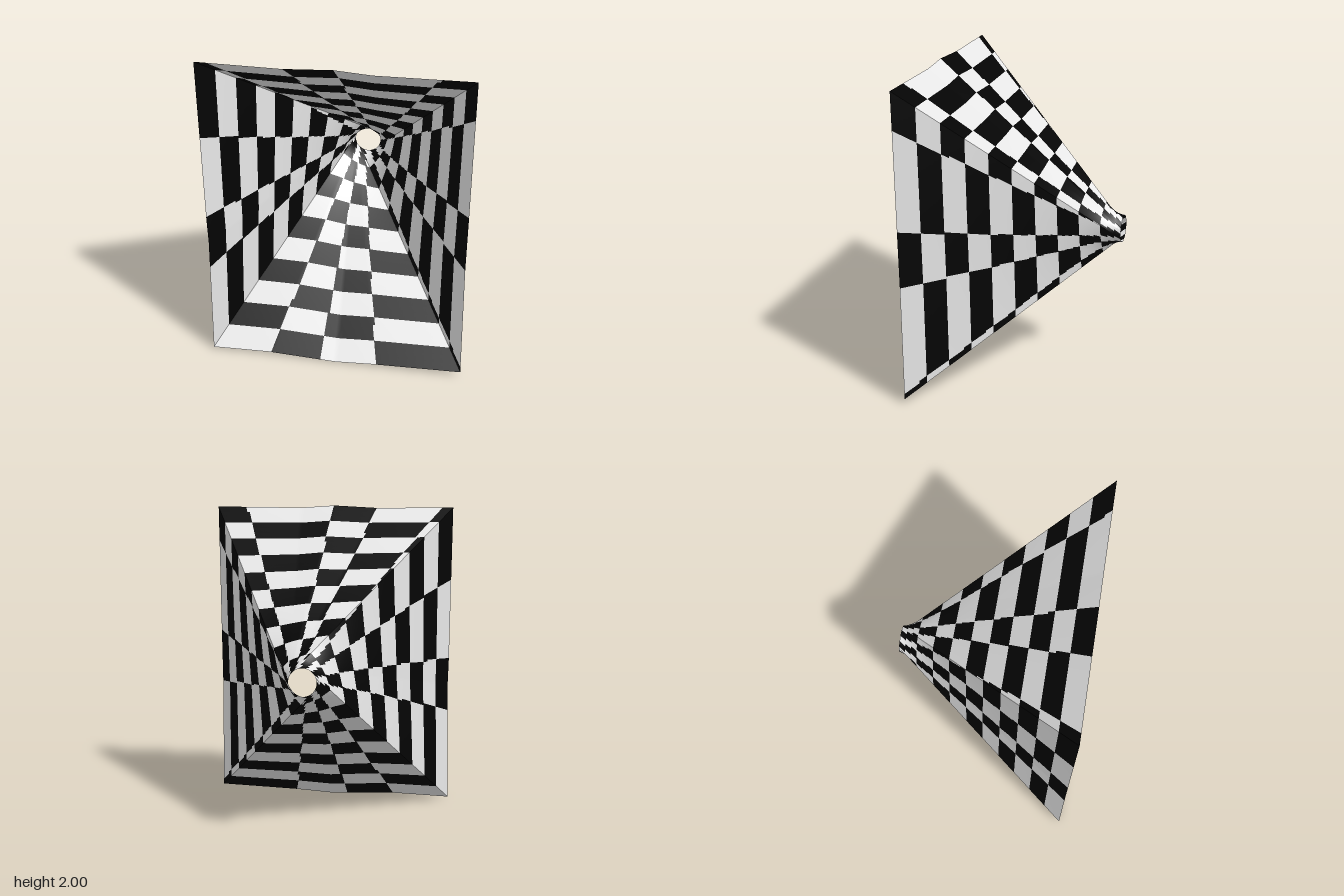
import * as THREE from 'three';
import { toCreasedNormals } from 'three/addons/utils/BufferGeometryUtils.js';

// Mouth outline, counterclockwise from the front: [x, y, matching angle on the hole in degrees].
// The walls twist as they narrow, so the corners reach the hole turned by about 80 degrees.
const OUTLINE = [
  [0.79, 0.03, -128], [0.785, 0.78, -90], [0.79, 1.14, -71], [0.8, 1.99, -29],
  [0.22, 1.985, 8], [0, 2, 17], [-0.29, 1.985, 28], [-0.8, 1.99, 50],
  [-0.79, 0.98, 102], [-0.785, 0.8, 112], [-0.8, 0.01, 152],
  [-0.42, 0.02, 171], [-0.1, 0.005, 188], [0, 0, 193], [0.26, 0.015, 205], [0.79, 0.03, 232],
];
// Lines between checker columns: [x, y at the mouth, angle on the hole in degrees]
const COLUMN_LINES = [
  [0.79, 1.14, -27], [0.8, 1.76, -1], [0.6, 1.99, 24], [0, 2, 50], [-0.29, 1.985, 75],
  [-0.72, 1.985, 101], [-0.8, 1.52, 127], [-0.79, 0.98, 153], [-0.8, 0.62, 178],
  [-0.42, 0.02, 204], [-0.1, 0.005, 230], [0.26, 0.015, 256], [0.79, 0.07, 281], [0.785, 0.78, 307],
];
const BANDS = 10, ROWS_PER_BAND = 3, CELL = 0.018;
const DEPTH = 1.185, HOLE = 0.085, TURN = Math.PI * 2;
const lerp = THREE.MathUtils.lerp;

// Point on the straight line from the mouth (t = 0) to the hole (t = 1)
function funnelPoint([x, y, degrees], t) {
  const angle = THREE.MathUtils.degToRad(degrees);
  return [
    lerp(x, HOLE * Math.cos(angle), t),
    lerp(y, 1 + HOLE * Math.sin(angle), t),
    DEPTH / 2 - DEPTH * t,
  ];
}

const direction = ([x, y]) => Math.atan2(y - 1, x);

// Directions of all column lines at depth t, measured from the first one
function columnLayout(t) {
  const directions = COLUMN_LINES.map((line) => direction(funnelPoint(line, t)));
  const start = directions[0];
  return { start, turns: directions.map((d) => (d - start + TURN) % TURN) };
}

// Outline resampled into short steps
function fineOutline() {
  const points = [];
  for (let i = 0; i < OUTLINE.length - 1; i++) {
    const p = OUTLINE[i], q = OUTLINE[i + 1];
    const steps = Math.ceil(Math.hypot(q[0] - p[0], q[1] - p[1]) / CELL);
    for (let k = 0; k < steps; k++) points.push(p.map((v, n) => lerp(v, q[n], k / steps)));
  }
  points.push(OUTLINE[OUTLINE.length - 1]);
  return points;
}

export function createModel() {
  const white = new THREE.MeshStandardMaterial({ color: 0xf8f8f8, side: THREE.DoubleSide });
  white.name = 'white';
  const black = new THREE.MeshStandardMaterial({ color: 0x040404, side: THREE.DoubleSide });
  black.name = 'black';

  // Wall pieces, sorted by checker colour
  const pieces = [[], []];
  const outline = fineOutline();
  const rows = BANDS * ROWS_PER_BAND;
  for (let row = 0; row < rows; row++) {
    const t0 = row / rows, t1 = (row + 1) / rows;
    const band = Math.floor(row / ROWS_PER_BAND);
    const { start, turns } = columnLayout((t0 + t1) / 2);
    for (let i = 0; i < outline.length - 1; i++) {
      const a = funnelPoint(outline[i], t0), b = funnelPoint(outline[i + 1], t0);
      const c = funnelPoint(outline[i + 1], t1), d = funnelPoint(outline[i], t1);
      const centre = [(a[0] + b[0] + c[0] + d[0]) / 4, (a[1] + b[1] + c[1] + d[1]) / 4];
      const turn = (direction(centre) - start + TURN * 2) % TURN;
      const column = turns.filter((v) => v <= turn).length - 1;
      pieces[(column + band) % 2].push(...a, ...d, ...c, ...a, ...c, ...b);
    }
  }

  // One shared surface with a material group per colour
  const geometry = new THREE.BufferGeometry();
  geometry.setAttribute('position', new THREE.Float32BufferAttribute(pieces.flat(), 3));
  geometry.addGroup(0, pieces[0].length / 3, 0);
  geometry.addGroup(pieces[0].length / 3, pieces[1].length / 3, 1);

  const funnel = new THREE.Mesh(toCreasedNormals(geometry, 0.5), [white, black]);
  funnel.name = 'checkeredFunnel';
  const model = new THREE.Group();
  model.name = 'tunnel';
  model.add(funnel);
  return model;
}
